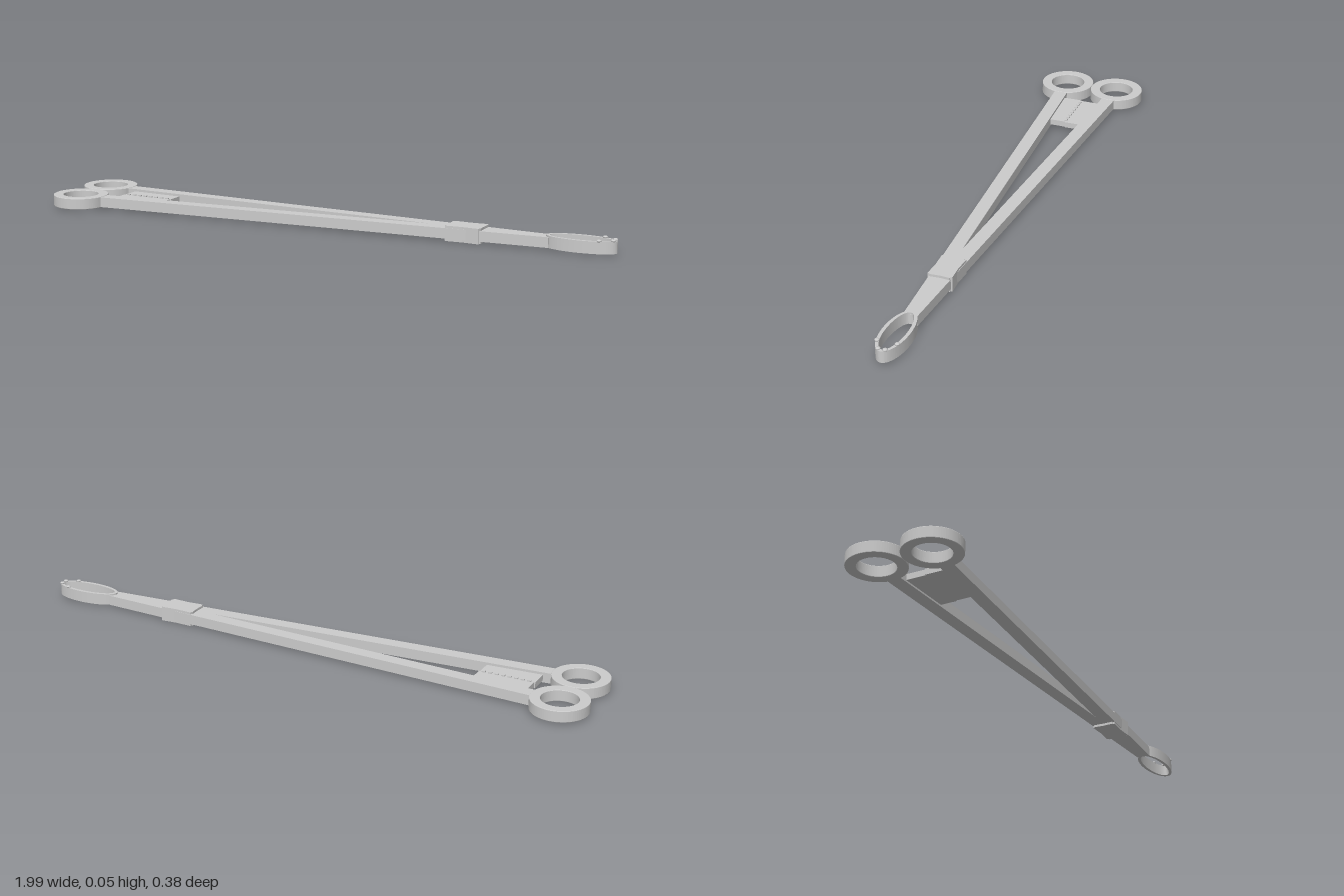
import * as THREE from 'three';

const material = new THREE.MeshStandardMaterial({ color: 0xcccccc });
const MID = 0.026; // mid height of the instrument
const SLOPE = 0.057; // convergence of the two arms

function add(parent, name, geometry, x = 0, y = 0, z = 0) {
  const mesh = new THREE.Mesh(geometry, material);
  mesh.name = name;
  mesh.position.set(x, y, z);
  parent.add(mesh);
  return mesh;
}

// Lay a plan outline (x, z) flat and give it a height, softening the rim by bevel
function plate(shape, y0, y1, bevel = 0) {
  const geometry = new THREE.ExtrudeGeometry(shape, {
    depth: y1 - y0 - 2 * bevel, curveSegments: 40, bevelEnabled: bevel > 0,
    bevelSize: bevel, bevelThickness: bevel, bevelOffset: -bevel, bevelSegments: 2,
  });
  geometry.rotateX(-Math.PI / 2);
  geometry.translate(0, y0 + bevel, 0);
  return geometry;
}

function ovalRing(rx, rz, wall) {
  const shape = new THREE.Shape().absellipse(0, 0, rx, rz, 0, Math.PI * 2);
  shape.holes.push(new THREE.Path().absellipse(0, 0, rx - wall, rz - wall, 0, Math.PI * 2));
  return shape;
}

export function createModel() {
  const model = new THREE.Group();
  model.name = 'ringForceps';

  for (const side of [1, -1]) {
    const label = side > 0 ? 'left' : 'right';

    // Finger ring
    add(model, label + 'FingerRing', plate(ovalRing(0.094, 0.094, 0.034), 0.007, 0.045, 0.002), -0.906, 0, side * 0.094);

    // Long arm, meeting its twin at the jaw
    const start = -0.825, end = 0.775;
    const arm = add(model, label + 'Arm',
      new THREE.BoxGeometry((end - start) * Math.hypot(1, SLOPE), 0.034, 0.046),
      (start + end) / 2, MID, side * SLOPE * (0.775 - (start + end) / 2));
    arm.rotation.y = side * Math.atan(SLOPE);

    // Box lock half, crossing the other at the pivot
    const lock = add(model, label + 'BoxLock', new THREE.BoxGeometry(0.118, 0.05, 0.075), 0.495, MID, 0);
    lock.rotation.y = side * Math.atan(SLOPE);

    // Ratchet plate reaching from the arm to the centre line
    const shift = side > 0 ? -0.004 : 0;
    const outline = new THREE.Shape([[-0.786, 0], [-0.6, 0], [-0.6, 0.065], [-0.786, 0.075]]
      .map(([x, z]) => new THREE.Vector2(x + shift, -side * z)));
    add(model, label + 'RatchetPlate', plate(outline, 0.015, 0.035));
  }

  // Ratchet teeth along the seam
  for (let i = 0; i < 8; i++) {
    add(model, 'ratchetTooth', new THREE.BoxGeometry(0.012, 0.006, 0.008), -0.77 + i * 0.022, 0.036, 0);
  }

  // Oval jaw
  const rx = 0.115, rz = 0.044, jawX = 0.877;
  add(model, 'jawRing', plate(ovalRing(rx, rz, 0.011), 0.009, 0.048), jawX);

  // Grip beads on the jaw tip
  for (const z of [-0.032, -0.011, 0.011, 0.032]) {
    const x = jawX + (rx - 0.006) * Math.sqrt(1 - (z / (rz - 0.004)) ** 2);
    const bead = add(model, 'gripBead', new THREE.SphereGeometry(0.008, 10, 8), x, 0.05, z);
    bead.scale.y = 0.55;
  }
  return model;
}
